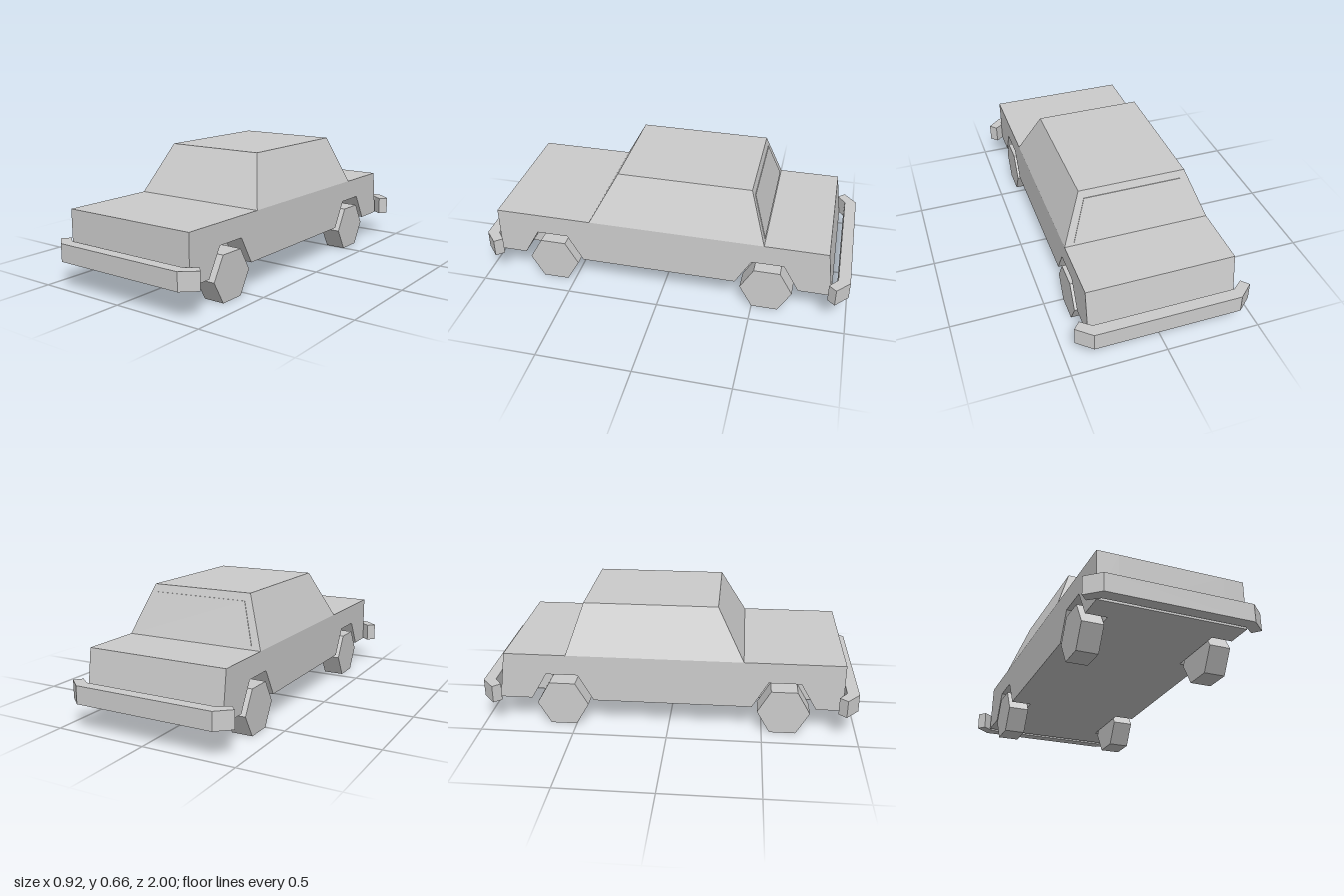
import * as THREE from 'three';

const material = new THREE.MeshStandardMaterial({ color: 0xcccccc, flatShading: true, side: THREE.DoubleSide });

const HALF_WIDTH = 0.386;
const WELL_X = 0.275; // inner wall of the wheel wells
const AXLES = { front: 0.612, rear: -0.57 };

function addMesh(parent, name, geometry) {
  const mesh = new THREE.Mesh(geometry, material);
  mesh.name = name;
  parent.add(mesh);
  return mesh;
}

function toShape(points) {
  return new THREE.Shape(points.map(([x, y]) => new THREE.Vector2(x, y)));
}

// Side profile given as [z, y], extruded across the car from x0 to x1
function sideExtrude(points, x0, x1) {
  const shape = toShape(points.map(([z, y]) => [-z, y]));
  return new THREE.ExtrudeGeometry(shape, { depth: x1 - x0, bevelEnabled: false })
    .rotateY(Math.PI / 2)
    .translate(x0, 0, 0);
}

// Box whose top and bottom are separate rectangles: { y, x, front, back }
function taperedBox(bottom, top) {
  const geometry = new THREE.BoxGeometry(2, 1, 1);
  const p = geometry.attributes.position;
  for (let i = 0; i < p.count; i++) {
    const end = p.getY(i) > 0 ? top : bottom;
    p.setXYZ(i, p.getX(i) * end.x, end.y, p.getZ(i) > 0 ? end.front : end.back);
  }
  geometry.computeVertexNormals();
  return geometry;
}

// Notch in the lower edge of the body around an axle, from back to front
function archNotch(z) {
  return [[z - 0.168, 0.145], [z - 0.085, 0.29], [z + 0.085, 0.29], [z + 0.168, 0.145]];
}

function bumperGeometry() {
  const half = [[0.37, 0.937], [0.425, 0.893], [0.46, 0.932], [0.383, 1]];
  const mirrored = half.map(([x, z]) => [-x, z]).reverse();
  return new THREE.ExtrudeGeometry(toShape([...half, ...mirrored]), { depth: 0.095, bevelEnabled: false })
    .rotateX(Math.PI / 2)
    .translate(0, 0.24, 0);
}

export function createModel() {
  const car = new THREE.Group();
  car.name = 'car';

  // Lower body: solid centre plus sides with wheel wells
  const body = new THREE.Group();
  body.name = 'body';
  car.add(body);
  const upper = [[0.92, 0.145], [0.92, 0.402], [-0.877, 0.402], [-0.912, 0.145]];
  addMesh(body, 'bodyCentre', sideExtrude(upper, -WELL_X, WELL_X));
  const notched = [...upper, ...archNotch(AXLES.rear), ...archNotch(AXLES.front)];
  addMesh(body, 'rightBodySide', sideExtrude(notched, -HALF_WIDTH, -WELL_X));
  addMesh(body, 'leftBodySide', sideExtrude(notched, WELL_X, HALF_WIDTH));

  // Cabin and rear window
  addMesh(car, 'cabin', taperedBox(
    { y: 0.402, x: HALF_WIDTH, front: 0.395, back: -0.545 },
    { y: 0.664, x: 0.282, front: 0.253, back: -0.455 }
  ));
  addMesh(car, 'rearWindow', taperedBox(
    { y: 0.417, x: 0.335, front: -0.52, back: -0.543 },
    { y: 0.625, x: 0.258, front: -0.45, back: -0.4715 }
  ));

  // Bumpers with angled ends
  addMesh(car, 'frontBumper', bumperGeometry());
  addMesh(car, 'rearBumper', bumperGeometry()).rotation.y = Math.PI;

  // Six-sided wheels, flat side down
  const wheel = new THREE.CylinderGeometry(0.139, 0.139, 0.113, 6).rotateZ(Math.PI / 2);
  for (const [end, z] of Object.entries(AXLES)) {
    for (const [side, sign] of [['Left', 1], ['Right', -1]]) {
      addMesh(car, `${end}${side}Wheel`, wheel).position.set(sign * 0.3355, 0.1204, z);
    }
  }

  return car;
}
